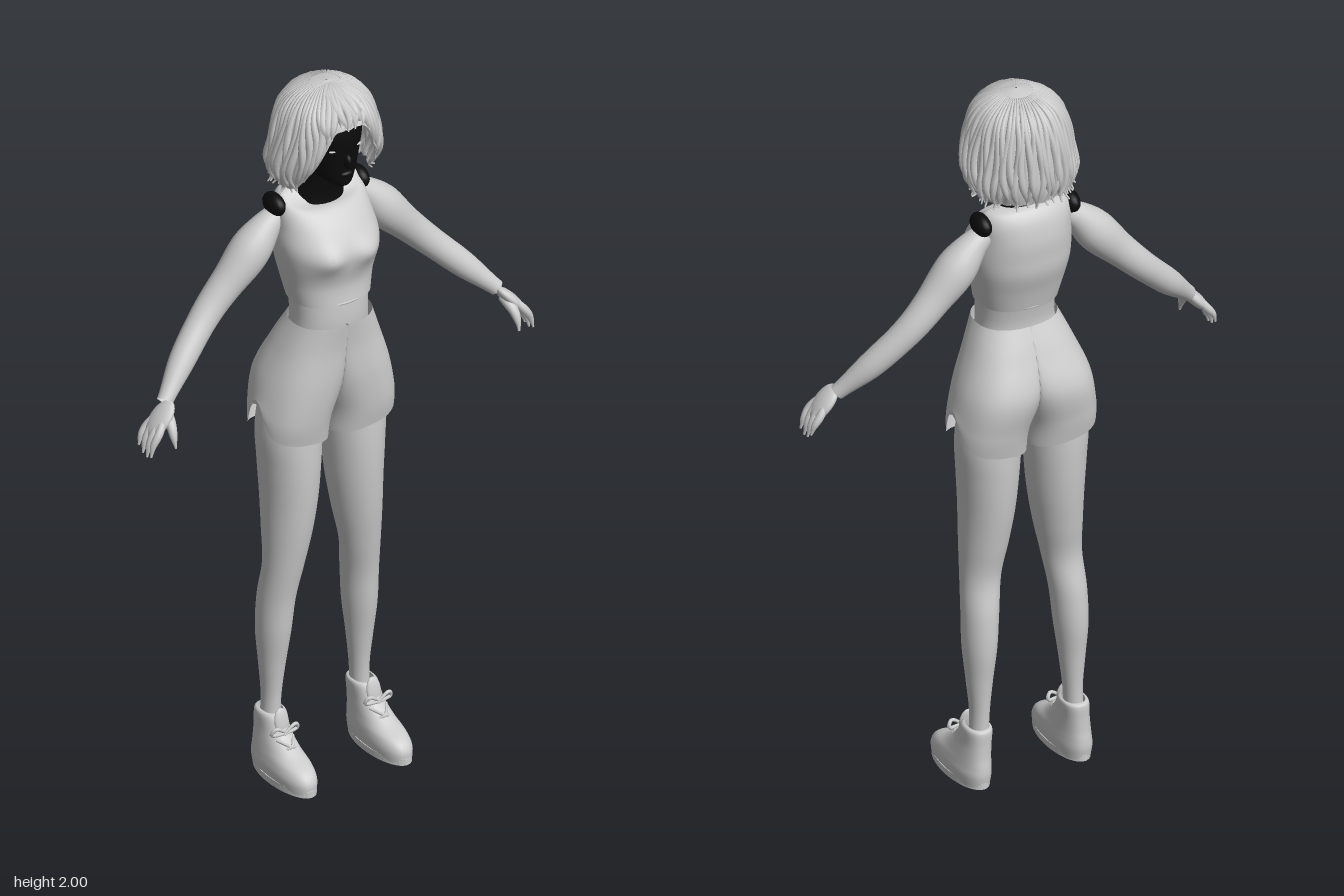
import * as THREE from 'three';

const grey = new THREE.MeshStandardMaterial({ color: 0xcccccc, side: THREE.DoubleSide });
const black = new THREE.MeshStandardMaterial({ color: 0x0b0b0b, side: THREE.DoubleSide });
const V = (x, y, z) => new THREE.Vector3(x, y, z);

// Smooth lookup in a table of rows, t from 0 to 1
function sample(rows, t) {
  const n = rows.length - 1, f = Math.min(Math.max(t, 0), 1) * n;
  const i = Math.min(Math.floor(f), n - 1), u = f - i;
  const at = k => rows[Math.min(Math.max(k, 0), n)];
  return rows[0].map((_, c) => {
    const [a, b, d, e] = [at(i - 1)[c], at(i)[c], at(i + 1)[c], at(i + 2)[c]];
    return b + 0.5 * u * (d - a + u * (2 * a - 5 * b + 4 * d - e + u * (3 * (b - d) + e - a)));
  });
}

// Closed-round surface from a rule f(angle, v)
function surface(nu, nv, f) {
  const pos = [], idx = [];
  for (let j = 0; j <= nv; j++)
    for (let i = 0; i < nu; i++) pos.push(...f((i / nu) * Math.PI * 2, j / nv).toArray());
  for (let j = 0; j < nv; j++)
    for (let i = 0; i < nu; i++) {
      const a = j * nu + i, b = j * nu + (i + 1) % nu;
      idx.push(a, b, b + nu, a, b + nu, a + nu);
    }
  const g = new THREE.BufferGeometry();
  g.setAttribute('position', new THREE.Float32BufferAttribute(pos, 3));
  g.setIndex(idx);
  g.computeVertexNormals();
  return g;
}

// Horizontal rings, bottom to top: [y, centre x, half width, front z, back z, front drop]
function loft(rows, { s = 1, p = 1, nu = 40, nv = 40, tweak = q => q } = {}) {
  const pow = k => Math.sign(k) * Math.abs(k) ** p;
  return surface(nu, nv, (a, v) => {
    const [y, cx, rx, zf, zb, drop = 0] = sample(rows, v);
    const c = pow(Math.cos(a));
    return tweak(V(s * cx + rx * pow(Math.sin(a)), y - drop * Math.max(0, c),
      (zf + zb) / 2 + (zf - zb) / 2 * c), a, v);
  });
}

// Tube along points with changing radius
function taper(points, radii, nu = 12, nv = 16) {
  const curve = new THREE.CatmullRomCurve3(points);
  const fr = curve.computeFrenetFrames(nv, false);
  const table = radii.map(r => [r]);
  return surface(nu, nv, (a, v) => {
    const k = Math.round(v * nv), r = Math.max(sample(table, v)[0], 0.0005);
    return curve.getPointAt(v).addScaledVector(fr.normals[k], r * Math.cos(a))
      .addScaledVector(fr.binormals[k], r * Math.sin(a));
  });
}

function add(parent, name, geometry, material = grey) {
  const m = new THREE.Mesh(geometry, material);
  m.name = name;
  parent.add(m);
  return m;
}

function ball(parent, name, x, y, z, sx, sy, sz, material = grey) {
  const m = add(parent, name, new THREE.SphereGeometry(1, 20, 14), material);
  m.position.set(x, y, z);
  m.scale.set(sx, sy, sz);
  return m;
}

function buildTorso(g) {
  add(g, 'midriff', loft([[1.26, 0, 0.112, 0.085, -0.08], [1.33, 0, 0.103, 0.095, -0.07],
    [1.42, 0, 0.106, 0.092, -0.085]], { p: 0.9, nv: 10 }));
  // Cropped top with a scooped neck and a fuller chest
  add(g, 'croppedTop', loft([[1.385, 0, 0.109, 0.103, -0.086, 0], [1.44, 0, 0.121, 0.1, -0.1, 0],
    [1.5, 0, 0.133, 0.113, -0.118, 0], [1.55, 0, 0.137, 0.112, -0.122, 0],
    [1.6, 0, 0.131, 0.085, -0.123, 0], [1.65, 0, 0.126, 0.045, -0.113, 0.01],
    [1.68, 0, 0.112, 0.018, -0.095, 0.035], [1.69, 0, 0.072, 0.008, -0.078, 0.05]], {
    p: 0.88, nu: 56, tweak: q => {
      if (q.z > 0) q.z += 0.02 * Math.exp(-(((Math.abs(q.x) - 0.06) / 0.045) ** 2) - ((q.y - 1.53) / 0.035) ** 2);
      return q;
    } }));
  const hem = add(g, 'topHem', new THREE.TorusGeometry(1, 0.025, 8, 48));
  hem.rotation.x = Math.PI / 2;
  hem.position.set(0, 1.39, 0.008);
  hem.scale.set(0.108, 0.094, 0.15);
  add(g, 'neck', loft([[1.6, 0, 0.085, 0.03, -0.09], [1.66, 0, 0.066, 0.018, -0.082],
    [1.72, 0, 0.048, 0.025, -0.073], [1.81, 0, 0.05, 0.045, -0.07]], { nv: 20 }), black);
}

function buildLeg(g, s) {
  // Half of the shorts, flat on the centre line, arched at the outer hem
  add(g, 'shortsHalf', loft([[0.985, 0.1, 0.098, 0.073, -0.12], [1.05, 0.095, 0.1, 0.085, -0.132],
    [1.15, 0.065, 0.112, 0.094, -0.144], [1.25, 0.03, 0.112, 0.096, -0.108],
    [1.325, 0, 0.111, 0.105, -0.074]], { s, p: 0.85, nu: 64, tweak: (q, a, v) => {
    q.x = s * Math.max(0, s * q.x);
    const side = (a - s * Math.PI / 2 + Math.PI * 3) % (Math.PI * 2) - Math.PI;
    q.y += (1 - v) ** 3 * (0.1 * Math.exp(-((side / 0.35) ** 2)) + 0.02 * Math.cos(side));
    return q;
  } }));
  add(g, 'leg', loft([[0.1, 0.138, 0.026, -0.02, -0.08], [0.2, 0.134, 0.025, -0.02, -0.079],
    [0.3, 0.133, 0.034, -0.008, -0.086], [0.4, 0.131, 0.044, 0.008, -0.096],
    [0.5, 0.126, 0.048, 0.018, -0.092], [0.6, 0.116, 0.053, 0.036, -0.077],
    [0.7, 0.106, 0.063, 0.053, -0.092], [0.8, 0.099, 0.071, 0.064, -0.107],
    [0.9, 0.097, 0.078, 0.069, -0.116], [1.0, 0.096, 0.084, 0.067, -0.118],
    [1.12, 0.085, 0.08, 0.06, -0.11]], { s, nv: 60 }));
  // Shoe with sole, padded ankle, tongue and bow
  const shoe = new THREE.Group();
  shoe.name = 'shoe';
  g.add(shoe);
  const sole = new THREE.Shape();
  sole.absellipse(0.145 * s, 0, 0.051, 0.125, 0, Math.PI * 2);
  const soleMesh = add(shoe, 'sole', new THREE.ExtrudeGeometry(sole, { depth: 0.018, bevelEnabled: false, curveSegments: 24 }));
  soleMesh.rotation.x = -Math.PI / 2;
  soleMesh.position.z = 0.03;
  add(shoe, 'shoeUpper', loft([[0.004, 0.145, 0.047, 0.151, -0.092], [0.035, 0.145, 0.05, 0.151, -0.097],
    [0.06, 0.144, 0.047, 0.13, -0.096], [0.085, 0.143, 0.042, 0.075, -0.093],
    [0.12, 0.141, 0.037, 0.028, -0.092], [0.16, 0.139, 0.035, 0.004, -0.092],
    [0.168, 0.138, 0.027, -0.008, -0.082]], { s, p: 0.85 }));
  const tongue = ball(shoe, 'tongue', 0.14 * s, 0.15, 0.008, 0.021, 0.037, 0.008);
  tongue.rotation.x = -0.2;
  for (const d of [-1, 1]) {
    const x = 0.142 * s;
    add(shoe, 'bowLoop', taper([V(x, 0.13, 0.03), V(x + d * 0.03, 0.147, 0.03), V(x + d * 0.039, 0.13, 0.024),
      V(x, 0.127, 0.032)], [0.004, 0.005, 0.005, 0.004], 8));
    add(shoe, 'lace', taper([V(x - d * 0.026, 0.088, 0.045), V(x, 0.1, 0.057), V(x + d * 0.025, 0.112, 0.025)],
      [0.004, 0.004, 0.004], 8));
  }
}

function buildArm(g, s) {
  ball(g, 'shoulderSkin', 0.127 * s, 1.65, -0.045, 0.024, 0.03, 0.042, black);
  add(g, 'arm', taper([V(0.115 * s, 1.62, -0.045), V(0.15 * s, 1.595, -0.045), V(0.23 * s, 1.505, -0.046),
    V(0.325 * s, 1.405, -0.046), V(0.415 * s, 1.315, -0.02), V(0.505 * s, 1.225, 0.022)],
  [0.03, 0.053, 0.044, 0.038, 0.034, 0.021], 24, 40));
  const hand = new THREE.Group();
  hand.name = 'hand';
  g.add(hand);
  ball(hand, 'palm', 0.532 * s, 1.193, 0.042, 0.017, 0.054, 0.036).rotation.z = 0.72 * s;
  for (let i = 0; i < 4; i++) {
    const z = 0.016 + i * 0.019, reach = [0.018, 0.004, 0, 0.008][i];
    add(hand, 'finger', taper([V(0.53 * s, 1.2, 0.028 + i * 0.01), V(0.557 * s, 1.168, z), V(0.573 * s, 1.137 + reach / 2, z),
      V(0.581 * s, 1.103 + reach, z + 0.002)], [0.01, 0.011, 0.0095, 0.003], 10));
  }
  add(hand, 'thumb', taper([V(0.51 * s, 1.208, 0.04), V(0.52 * s, 1.18, 0.077), V(0.523 * s, 1.152, 0.093),
    V(0.522 * s, 1.13, 0.099)], [0.013, 0.014, 0.0105, 0.003], 10));
}

function buildHead(g) {
  add(g, 'head', loft([[1.722, 0, 0.004, 0.075, 0.06], [1.735, 0, 0.033, 0.095, 0.0], [1.77, 0, 0.06, 0.097, -0.06],
    [1.82, 0, 0.078, 0.1, -0.1], [1.88, 0, 0.088, 0.104, -0.115], [1.93, 0, 0.078, 0.088, -0.1],
    [1.965, 0, 0.03, 0.03, -0.05]]), black);
  ball(g, 'nose', 0, 1.805, 0.1, 0.011, 0.02, 0.014, black);
  ball(g, 'lips', 0, 1.768, 0.095, 0.02, 0.008, 0.01, black);
  for (const s of [-1, 1]) ball(g, 'eye', 0.036 * s, 1.84, 0.087, 0.012, 0.003, 0.007);
}

function buildHair(g) {
  const hair = new THREE.Group();
  hair.name = 'hair';
  g.add(hair);
  const rows = [[1.997, 0.003, 0.003, -0.003], [1.985, 0.055, 0.045, -0.06], [1.95, 0.103, 0.095, -0.107],
    [1.9, 0.124, 0.122, -0.128], [1.83, 0.138, 0.128, -0.138], [1.77, 0.143, 0.112, -0.142],
    [1.725, 0.128, 0.09, -0.132]];
  // The lower edge rises over the face
  const point = (a, v, out = 1) => {
    const off = Math.abs(Math.atan2(Math.sin(a), Math.cos(a)));
    const t = v * (0.47 + 0.53 * THREE.MathUtils.smoothstep(off, 0.25, 1.2));
    const [y, rx, zf, zb] = sample(rows, t);
    return V(0.002 - 0.004 * t + out * rx * Math.sin(a), y, (zf + zb) / 2 + out * (zf - zb) / 2 * Math.cos(a));
  };
  add(hair, 'hairShell', surface(120, 36, (a, w) => {
    const v = 1 - w;
    return point(a, v, 1 + 0.02 * v * Math.sin(a * 26 + 3 * Math.sin(v * 7)) + 0.012 * v * Math.sin(a * 11 - v * 9));
  }));
  // Wavy locks from crown to curled tips
  let seed = 7;
  const rnd = () => (seed = (seed * 16807) % 2147483647) / 2147483647;
  const count = 58;
  for (let i = 0; i < count; i++) {
    const a = ((i + 0.5) / count) * Math.PI * 2, phase = rnd() * 6, len = 0.96 + rnd() * 0.06;
    const pts = [];
    for (let k = 0; k <= 9; k++) {
      const v = 0.12 + (len - 0.12) * k / 9;
      pts.push(point(a + 0.075 * v * Math.sin(v * 9 + phase), v, 1.0 + 0.025 * v * Math.sin(v * 13 + phase)));
    }
    if (Math.cos(a) < 0.55) {
      const tip = pts[9].clone();
      tip.x *= 0.98 + rnd() * 0.16;
      tip.z *= 0.98 + rnd() * 0.12;
      tip.y -= 0.004 + rnd() * 0.014;
      pts.push(tip);
    }
    add(hair, 'hairLock', taper(pts, [0.002, 0.006, 0.009, 0.011, 0.01, 0.002], 7, 26));
  }
}

export function createModel() {
  const g = new THREE.Group();
  g.name = 'standingWoman';
  buildTorso(g);
  for (const s of [-1, 1]) {
    buildLeg(g, s);
    buildArm(g, s);
  }
  buildHead(g);
  buildHair(g);
  return g;
}
